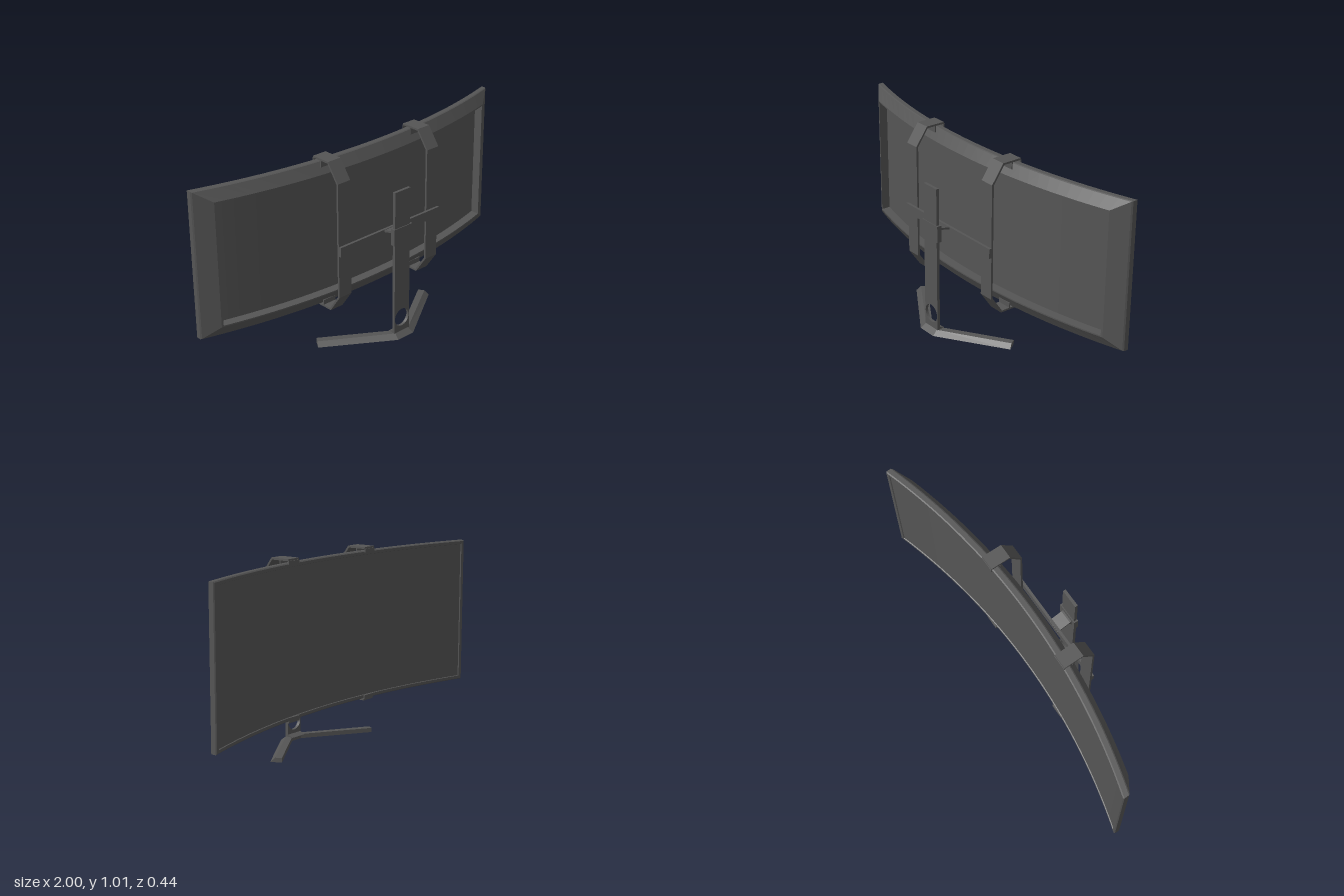
import * as THREE from 'three';

const grey = new THREE.MeshStandardMaterial({ color: 0x555555 });
grey.name = 'dark grey';

const CX = -0.013; // the stand sits slightly off centre

function add(parent, name, geometry) {
  const mesh = new THREE.Mesh(geometry, grey);
  mesh.name = name;
  parent.add(mesh);
  return mesh;
}

function box(parent, name, x0, x1, y0, y1, z0, z1) {
  const g = new THREE.BoxGeometry(x1 - x0, y1 - y0, z1 - z0);
  g.translate((x0 + x1) / 2, (y0 + y1) / 2, (z0 + z1) / 2);
  return add(parent, name, g);
}

// Side profile of [z, y] points extruded across x
function sideProfile(points, width, x) {
  const shape = new THREE.Shape(points.map(p => new THREE.Vector2(p[0], p[1])));
  const g = new THREE.ExtrudeGeometry(shape, { depth: width, bevelEnabled: false });
  g.translate(0, 0, -width / 2);
  g.rotateY(-Math.PI / 2);
  g.translate(x, 0, 0);
  return g;
}

// Flat-shaded skin over closed rings; caps are strips between the two halves of a ring
function loft(rings, capFirst, capLast) {
  const pos = [];
  const quad = (a, b, c, d) => pos.push(...a, ...b, ...c, ...a, ...c, ...d);
  const n = rings[0].length;
  for (let r = 0; r + 1 < rings.length; r++) {
    for (let i = 0; i < n; i++) {
      const k = (i + 1) % n;
      quad(rings[r][i], rings[r + 1][i], rings[r + 1][k], rings[r][k]);
    }
  }
  for (let j = 0; j < n / 2 - 1; j++) {
    const f = rings[0], l = rings[rings.length - 1];
    if (capFirst) quad(f[j], f[j + 1], f[n - 2 - j], f[n - 1 - j]);
    if (capLast) quad(l[j], l[n - 1 - j], l[n - 2 - j], l[j + 1]);
  }
  const g = new THREE.BufferGeometry();
  g.setAttribute('position', new THREE.Float32BufferAttribute(pos, 3));
  g.computeVertexNormals();
  return g;
}

// Rectangle of half width w and half height h, bent along the screen arc at depth d
function curvedRing(w, h, d) {
  const N = 32, R = 3.41, CY = 0.602;
  const point = (x, y) => [x, CY + y, -0.075 - (R - Math.sqrt(R * R - x * x)) + d];
  const ring = [];
  for (let j = 0; j <= N; j++) ring.push(point(-w + 2 * w * j / N, -h));
  for (let j = 0; j <= N; j++) ring.push(point(w - 2 * w * j / N, h));
  return ring;
}

function buildPanel() {
  const panel = new THREE.Group();
  panel.name = 'curvedPanel';
  // Recessed back, raised lip, sloping rim, edge and screen bezel
  add(panel, 'housing', loft([
    curvedRing(0.905, 0.325, 0.02),
    curvedRing(0.905, 0.325, 0.07),
    curvedRing(0.915, 0.332, 0.07),
    curvedRing(0.995, 0.388, 0.037),
    curvedRing(1, 0.391, 0.031),
    curvedRing(1, 0.391, 0.006),
    curvedRing(0.995, 0.386, 0),
    curvedRing(0.98, 0.372, 0),
    curvedRing(0.978, 0.37, 0.005),
  ], true, false));
  add(panel, 'screen', loft([curvedRing(0.978, 0.37, 0.005)], false, true));
  return panel;
}

function buildBracket(x) {
  const g = new THREE.Group();
  g.name = 'bracket';
  add(g, 'bracketStrap', sideProfile([
    [-0.09, 1.013], [0.018, 1.013], [0.086, 0.917], [0.086, 0.299], [0.018, 0.202], [-0.09, 0.202],
    [-0.09, 0.212], [0.013, 0.212], [0.075, 0.302], [0.075, 0.914], [0.013, 1.003], [-0.09, 1.003],
  ], 0.08, x));
  // Small lips that clip over the panel's upper and lower edges
  for (const [y0, y1, y2, y3] of [[0.985, 1.004, 0.968, 1.004], [0.211, 0.23, 0.211, 0.238]]) {
    box(g, 'screenLip', x - 0.04, x + 0.04, y0, y1, -0.094, -0.088);
    box(g, 'rearLip', x - 0.04, x + 0.04, y2, y3, -0.04, -0.034);
  }
  return g;
}

function buildStand() {
  const stand = new THREE.Group();
  stand.name = 'stand';

  // Post with a round cable hole
  const shape = new THREE.Shape();
  shape.moveTo(CX - 0.052, 0.02).lineTo(CX + 0.052, 0.02);
  shape.lineTo(CX + 0.052, 0.818).lineTo(CX - 0.052, 0.818).closePath();
  const hole = new THREE.Path();
  hole.absarc(CX, 0.102, 0.049, 0, Math.PI * 2, true);
  shape.holes.push(hole);
  const post = new THREE.ExtrudeGeometry(shape, { depth: 0.016, bevelEnabled: false, curveSegments: 16 });
  post.translate(0, 0, 0.175);
  add(stand, 'post', post);
  add(stand, 'postFoot', sideProfile([[0.18, 0.02], [0.18, 0.036], [0.173, 0.034], [0.145, 0.022]], 0.1, CX));

  // Spread V-shaped base with a sloping outer edge
  const inner = [[0.37, -0.056], [0.035, 0.16]];
  const baseRing = (y, outer) => {
    const mirror = a => a.map(([x, z]) => [-x, z]).reverse();
    const loop = [...mirror(outer).reverse(), ...[...outer].reverse(), ...inner, ...mirror(inner)];
    return loop.map(([x, z]) => [CX + x, y, z]);
  };
  add(stand, 'base', loft([
    baseRing(0.023, [[0.388, -0.026], [0.046, 0.192]]),
    baseRing(0, [[0.402, -0.006], [0.054, 0.221]]),
  ], true, true));

  // Height slider, tilting arm and cross bar
  box(stand, 'slider', CX - 0.06, CX + 0.063, 0.53, 0.62, 0.17, 0.195);
  add(stand, 'arm', sideProfile([
    [0.172, 0.595], [0.16, 0.594], [0.085, 0.576], [0.085, 0.565], [0.158, 0.583], [0.172, 0.55],
  ], 0.075, CX));
  box(stand, 'crossBar', -0.345, 0.343, 0.53, 0.582, 0.086, 0.1);
  return stand;
}

export function createModel() {
  const model = new THREE.Group();
  model.name = 'monitor';
  model.add(buildPanel(), buildStand());
  for (const x of [-0.306, 0.302]) model.add(buildBracket(x));
  return model;
}
